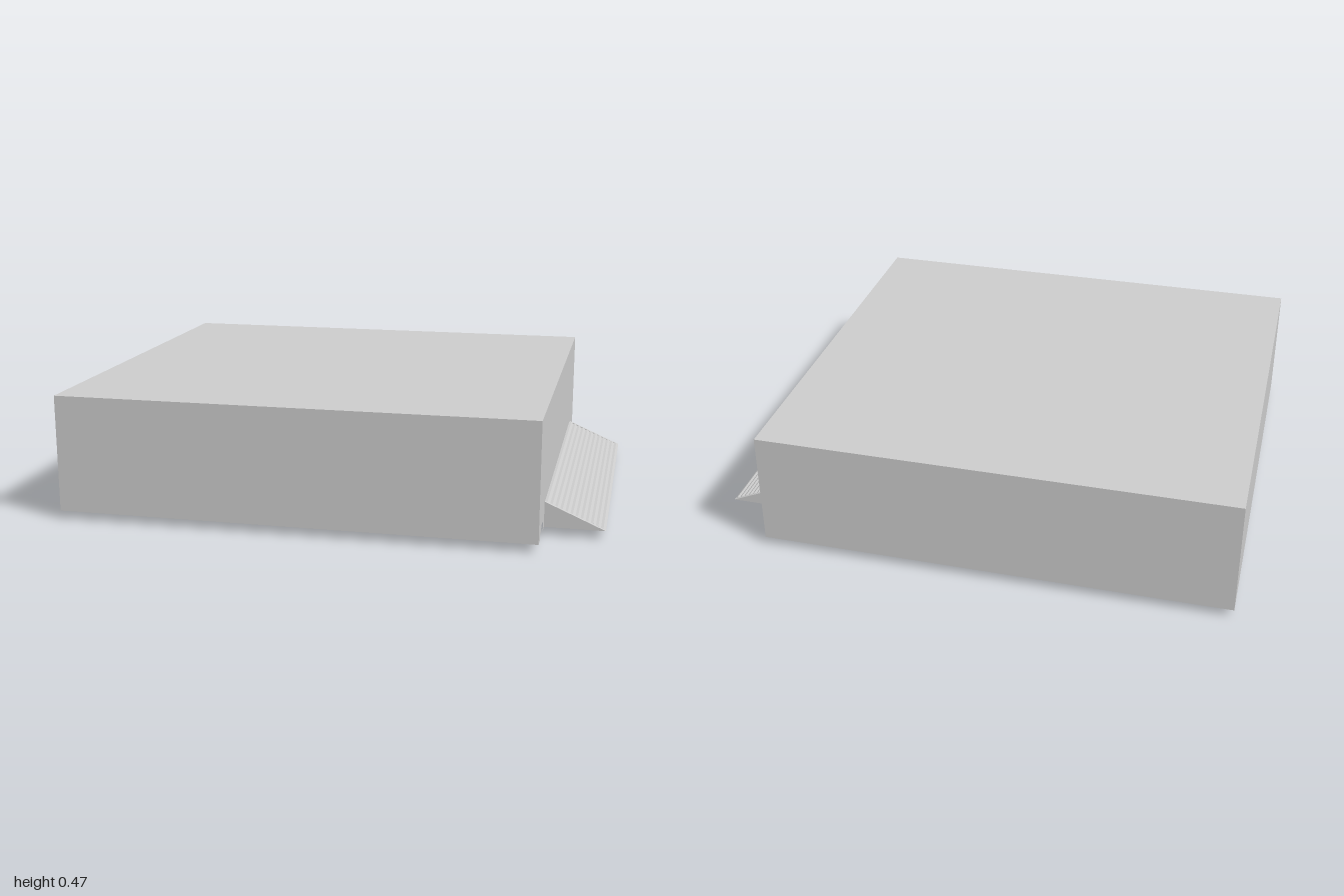
import * as THREE from 'three';

const grey = new THREE.MeshStandardMaterial({ color: 0xcccccc, flatShading: true, side: THREE.DoubleSide });

const X0 = -1, X1 = 0.78, Y0 = 0.03, Y1 = 0.47, Z = 0.82; // outer shell limits

export function createModel() {
  const model = new THREE.Group();

  const add = (name, geometry, x = 0, y = 0, z = 0, parent = model) => {
    const mesh = new THREE.Mesh(geometry, grey);
    mesh.name = name;
    mesh.position.set(x, y, z);
    parent.add(mesh);
    return mesh;
  };
  const outline = (points) => new THREE.Shape(points.map(([a, b]) => new THREE.Vector2(a, b)));

  // Thin outer shell, open underneath
  const w = X1 - X0, h = Y1 - Y0, cx = (X0 + X1) / 2, cy = (Y0 + Y1) / 2;
  const shell = new THREE.Group();
  shell.name = 'shell';
  model.add(shell);
  add('shellTop', new THREE.PlaneGeometry(w, 2 * Z).rotateX(-Math.PI / 2), cx, Y1, 0, shell);
  add('shellFront', new THREE.PlaneGeometry(w, h), cx, cy, Z, shell);
  add('shellBack', new THREE.PlaneGeometry(w, h).rotateY(Math.PI), cx, cy, -Z, shell);
  add('shellRightSide', new THREE.PlaneGeometry(2 * Z, h).rotateY(-Math.PI / 2), X0, cy, 0, shell);

  // Ramp-side wall, cut out for the ramp and two chamfered corner slots
  const half = [
    [0.61, 0.12], [0.61, Y0], [0.665, Y0], [0.665, 0.06], [0.68, 0.07],
    [0.76, 0.07], [0.775, 0.06], [0.775, Y0], [Z, Y0], [Z, Y1],
  ];
  const mirrored = half.map(([a, b]) => [-a, b]).reverse();
  const sideWall = new THREE.ShapeGeometry(outline([...half, ...mirrored])).rotateY(Math.PI / 2);
  add('shellLeftSide', sideWall, X1, 0, 0, shell);

  // Panel lying just behind the wall above the ramp
  add('innerPanel', new THREE.PlaneGeometry(1.24, 0.23).rotateY(Math.PI / 2), X1 - 0.004, 0.235, 0);

  // T-shaped base tray with two ears beside the ramp slot
  const trayHalf = [
    [0.62, 0.67], [0.775, 0.67], [0.775, 0.77], [0.36, 0.77], [0.36, 0.635], [-0.62, 0.635],
  ];
  const tray = outline([...trayHalf, ...trayHalf.map(([a, b]) => [a, -b]).reverse()]);
  add('baseTray', new THREE.ExtrudeGeometry(tray, { depth: 0.07, bevelEnabled: false })
    .rotateX(-Math.PI / 2), 0, Y0, 0);

  // Central pillar carrying the top
  add('centralPillar', new THREE.BoxGeometry(0.62, 0.366, 0.88), 0.06, 0.285, 0);

  // Hollow feet
  for (const z of [-0.41, -0.135, 0.135, 0.41]) {
    const rim = outline([[-0.09, -0.042], [0.09, -0.042], [0.09, 0.042], [-0.09, 0.042]]);
    rim.holes.push(outline([[-0.075, -0.027], [-0.075, 0.027], [0.075, 0.027], [0.075, -0.027]]));
    add('foot', new THREE.ExtrudeGeometry(rim, { depth: Y0, bevelEnabled: false })
      .rotateX(-Math.PI / 2), -0.34, 0, z);
  }

  // Ramp: ribbed sloping sheet between two triangular cheeks
  const ramp = new THREE.Group();
  ramp.name = 'ramp';
  model.add(ramp);
  const ribs = 24;
  const sheet = new THREE.PlaneGeometry(1, 1.22, ribs, 1);
  const p = sheet.attributes.position;
  for (let i = 0; i < p.count; i++) {
    const t = p.getX(i) + 0.5;
    const lift = Math.round(t * ribs) % 2 ? 0 : -0.004;
    p.setXYZ(i, X1 + 0.22 * t, 0.125 - 0.093 * t + lift, -p.getY(i));
  }
  sheet.computeVertexNormals();
  add('rampSheet', sheet, 0, 0, 0, ramp);
  const cheek = new THREE.ExtrudeGeometry(outline([[X1, Y0], [1, Y0], [X1, 0.125]]),
    { depth: 0.012, bevelEnabled: false });
  for (const z of [-0.62, 0.608]) add('rampCheek', cheek, 0, 0, z, ramp);

  return model;
}
